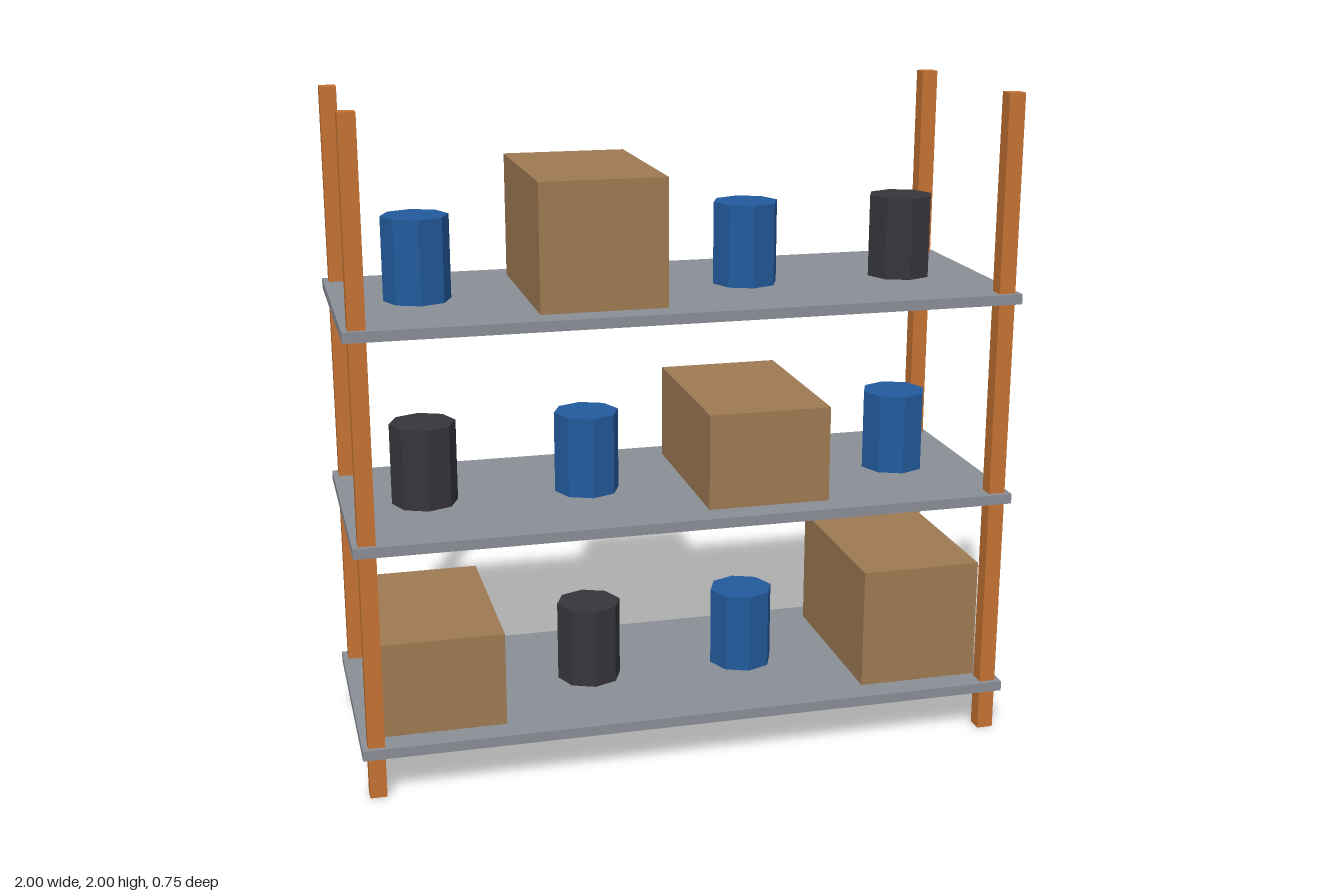
import * as THREE from 'three';

const paint = (name, color) => {
  const m = new THREE.MeshStandardMaterial({ color });
  m.name = name;
  return m;
};

export function createModel() {
  const orange = paint('orange posts', 0xc47234);
  const grey = paint('grey shelf', 0x8a8f96);
  const tan = paint('cardboard', 0x9e7a52);
  const blue = paint('blue drum', 0x225a9c);
  const black = paint('black drum', 0x37353b);

  const model = new THREE.Group();
  model.name = 'storageRack';

  const add = (name, geometry, material, x, y, z) => {
    const mesh = new THREE.Mesh(geometry, material);
    mesh.name = name;
    mesh.position.set(x, y, z);
    model.add(mesh);
  };

  // Four corner posts
  const postGeometry = new THREE.BoxGeometry(0.05, 2, 0.05);
  for (const x of [-0.958, 0.958])
    for (const z of [-0.333, 0.333]) add('post', postGeometry, orange, x, 1, z);

  // Octagonal drums with crisp sides
  const drumHeight = 0.25;
  const drumGeometry = new THREE.CylinderGeometry(0.1, 0.1, drumHeight, 8).toNonIndexed();
  drumGeometry.computeVertexNormals();

  // Goods on each shelf from -x to +x: a drum material, or a carton height
  const shelves = [
    { y: 0.144, goods: [0.29, black, blue, 0.375] },
    { y: 0.768, goods: [black, blue, 0.293, blue] },
    { y: 1.393, goods: [blue, 0.377, blue, black] },
  ];
  const thickness = 0.031;
  const shelfGeometry = new THREE.BoxGeometry(2, thickness, 0.746);

  for (const { y, goods } of shelves) {
    add('shelf', shelfGeometry, grey, 0, y, 0);
    const top = y + thickness / 2;
    goods.forEach((item, i) => {
      const x = -0.75 + i * 0.5;
      if (typeof item === 'number')
        add('carton', new THREE.BoxGeometry(0.375, item, 0.583), tan, x, top + item / 2, 0);
      else add('drum', drumGeometry, item, x, top + drumHeight / 2, 0);
    });
  }
  return model;
}
